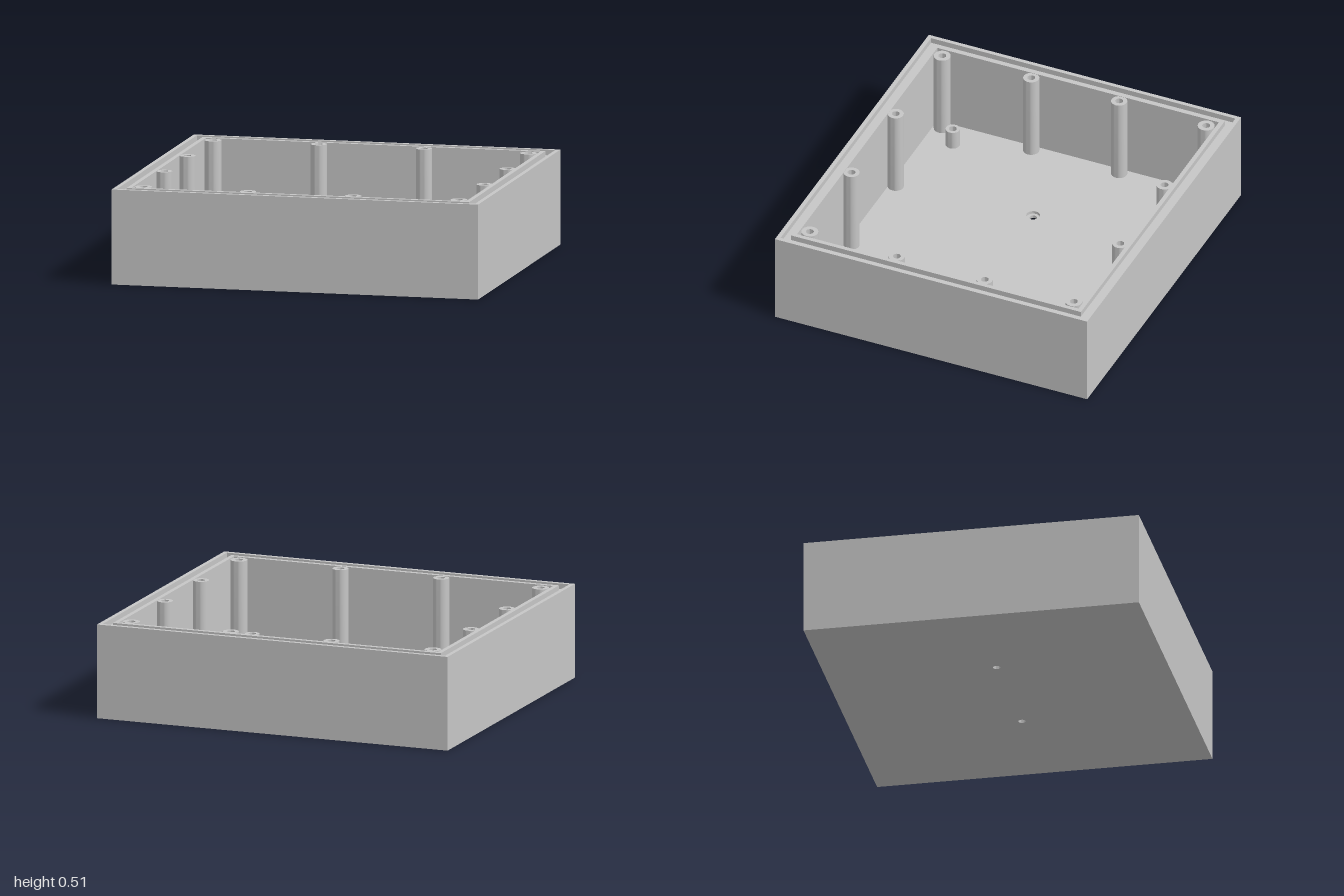
import * as THREE from 'three';
import { toCreasedNormals } from 'three/addons/utils/BufferGeometryUtils.js';

const HX = 1, HZ = 0.905, H = 0.51; // half width, half depth, height
const FLOOR = 0.032, WALL = 0.089, GROOVE = 0.03;
const DRAIN_R = 0.02, BORE_R = 0.037;
const DRAINS = [[-0.345, 0.008], [0.342, 0.008]];

// Rectangular walls swept along a profile of [inset, y] points
function wallGeometry(profile) {
  const signs = [[-1, 1], [1, 1], [1, -1], [-1, -1]];
  const corner = (k, [inset, y]) => {
    const [sx, sz] = signs[k % 4];
    return [sx * (HX - inset), y, sz * (HZ - inset)];
  };
  const pos = [];
  for (let i = 0; i < profile.length - 1; i++) {
    for (let k = 0; k < 4; k++) {
      const a0 = corner(k, profile[i]), b0 = corner(k + 1, profile[i]);
      const a1 = corner(k, profile[i + 1]), b1 = corner(k + 1, profile[i + 1]);
      pos.push(...a0, ...b0, ...b1, ...a0, ...b1, ...a1);
    }
  }
  const g = new THREE.BufferGeometry();
  g.setAttribute('position', new THREE.Float32BufferAttribute(pos, 3));
  g.computeVertexNormals();
  return g;
}

// Flat sheet with round holes, facing up (dir 1) or down (dir -1)
function sheetGeometry(hx, hz, holeR, dir) {
  const s = new THREE.Shape();
  s.moveTo(-hx, -hz).lineTo(hx, -hz).lineTo(hx, hz).lineTo(-hx, hz).closePath();
  for (const [x, z] of DRAINS) {
    s.holes.push(new THREE.Path().absarc(x, -dir * z, holeR, 0, Math.PI * 2, true));
  }
  return new THREE.ShapeGeometry(s, 16).rotateX(-dir * Math.PI / 2);
}

function lathe(points) {
  const g = new THREE.LatheGeometry(points.map(([r, y]) => new THREE.Vector2(r, y)), 32);
  return toCreasedNormals(g, 0.6);
}

// Round post with a blind screw hole in its top
const post = (r, holeR, top, depth) => lathe([
  [r, FLOOR], [r, top], [holeR, top], [holeR, top - depth], [0, top - depth],
]);

export function createModel() {
  const model = new THREE.Group();
  model.name = 'enclosureBase';
  const grey = new THREE.MeshStandardMaterial({ color: 0xc6c6c6 });
  grey.name = 'light grey plastic';

  const add = (name, geometry, x = 0, y = 0, z = 0) => {
    const m = new THREE.Mesh(geometry, grey);
    m.name = name;
    m.position.set(x, y, z);
    model.add(m);
  };

  // Walls with a seal groove running round the rim
  add('walls', wallGeometry([
    [0, 0], [0, H], [0.023, H], [0.023, H - GROOVE],
    [0.065, H - GROOVE], [0.065, H], [WALL, H], [WALL, FLOOR],
  ]));

  // Floor and underside, pierced by two counterbored holes
  add('floor', sheetGeometry(HX - WALL, HZ - WALL, BORE_R, 1), 0, FLOOR);
  add('underside', sheetGeometry(HX, HZ, DRAIN_R, -1));
  const bore = lathe([[BORE_R, FLOOR], [BORE_R, 0.016], [DRAIN_R, 0.016], [DRAIN_R, 0]]);
  for (const [x, z] of DRAINS) add('counterbore', bore, x, 0, z);

  // Tall lid posts in the corners and along the walls
  const cornerPost = post(0.045, 0.021, 0.508, 0.2);
  const wallPost = post(0.043, 0.021, 0.508, 0.2);
  for (const sx of [-1, 1]) {
    for (const sz of [-1, 1]) {
      add('cornerPost', cornerPost, sx * 0.86, 0, sz * 0.765);
      add('endWallPost', wallPost, sx * 0.287, 0, sz * 0.779);
      add('sideWallPost', wallPost, sx * 0.873, 0, sz * 0.255);
    }
  }

  // Short board standoffs
  const standoff = post(0.038, 0.021, 0.135, 0.08);
  for (const [x, z] of [[-0.75, -0.655], [0.75, -0.655], [-0.75, 0.655], [0.75, 0.678]]) {
    add('standoff', standoff, x, 0, z);
  }
  return model;
}
